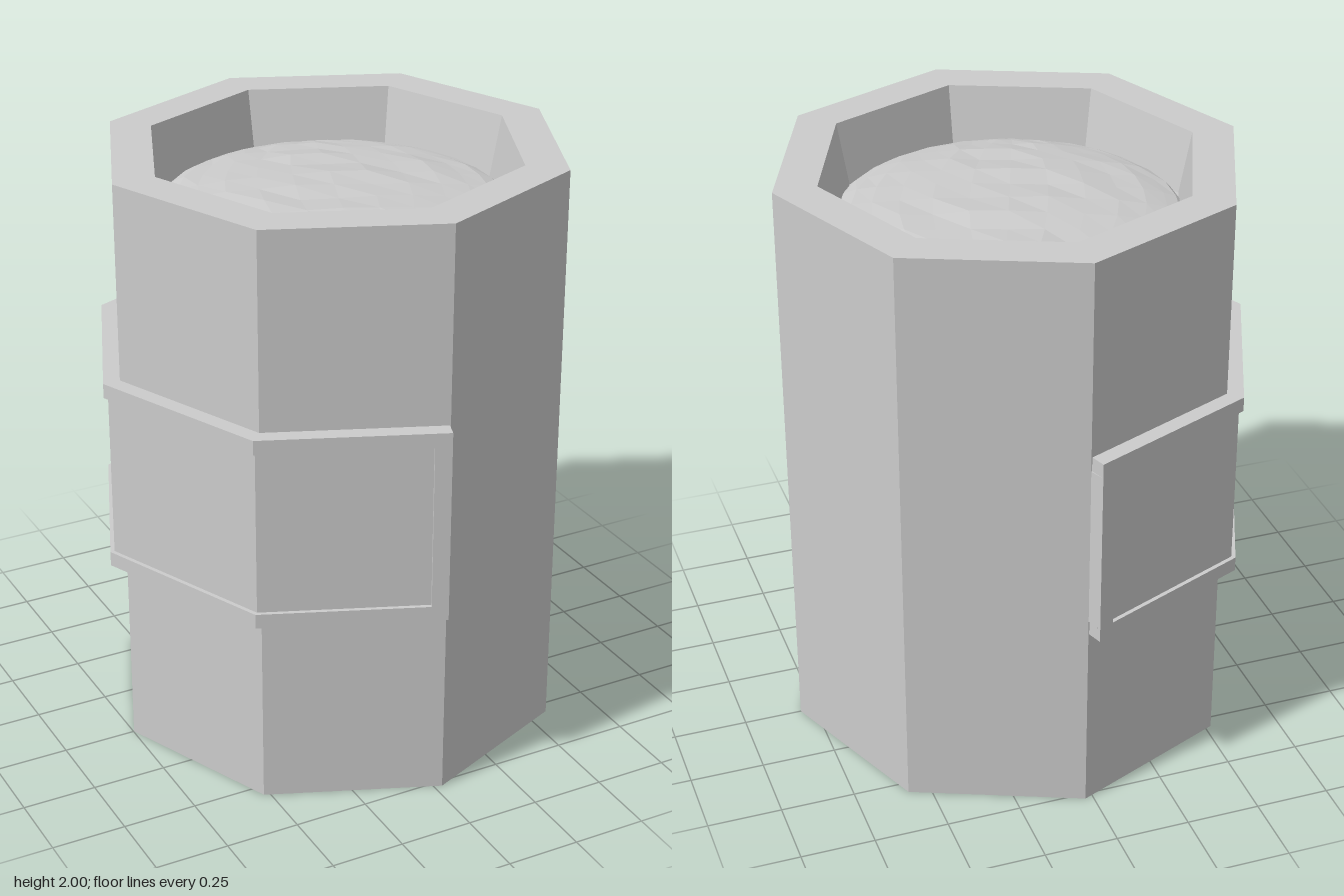
import * as THREE from 'three';

const R = 0.775;          // corner radius of the octagonal barrel
const CX = 0.027;         // barrel axis in x
const STEP = Math.PI / 4;

export function createModel() {
  const model = new THREE.Group();
  const mat = new THREE.MeshStandardMaterial({ color: 0xcccccc, flatShading: true });

  const add = (name, geometry, y = 0) => {
    const mesh = new THREE.Mesh(geometry, mat);
    mesh.name = name;
    mesh.position.set(CX, y, 0);
    model.add(mesh);
    return mesh;
  };

  // Barrel: outer wall, flat rim, tapering inner wall and sunken floor
  const profile = [[0, 0], [R, 0], [R, 2], [0.63, 2], [0.588, 1.79], [0, 1.79]];
  add('barrel', new THREE.LatheGeometry(profile.map(p => new THREE.Vector2(...p)), 8));

  // Contents: shallow faceted mound with uneven facets
  const mound = new THREE.SphereGeometry(0.565, 28, 16);
  mound.rotateX(Math.PI / 2);
  mound.rotateY(-0.35);
  const pos = mound.attributes.position;
  for (let i = 0; i < pos.count; i++) {
    const x = pos.getX(i), y = pos.getY(i), z = pos.getZ(i);
    const bump = 0.006 * Math.sin(Math.round(x * 1000) * 1.7 + Math.round(z * 1000) * 2.3);
    pos.setY(i, y * 0.1 + bump * Math.max(0, y / 0.565));
  }
  add('contents', mound, 1.81);

  // Plan-view helpers for the raised band around the -x half
  const corner = (k, r) => new THREE.Vector2(Math.cos(k * STEP) * r, Math.sin(k * STEP) * r);
  const normal = k => corner(k, 1);
  const extrude = (points, height) => new THREE.ExtrudeGeometry(
    new THREE.Shape(points), { depth: height, bevelEnabled: false }).rotateX(-Math.PI / 2);

  // Strip hugging four faces, with ends square to the faces
  const strip = t => {
    const outer = [corner(2, R).addScaledVector(normal(2.5), t)];
    const inner = [];
    for (let k = 3; k <= 5; k++) outer.push(corner(k, R + t / Math.cos(STEP / 2)));
    outer.push(corner(6, R).addScaledVector(normal(5.5), t));
    for (let k = 6; k >= 2; k--) inner.push(corner(k, R - 0.01));
    return [...outer, ...inner];
  };

  const T = 0.054;
  add('bandPanel', extrude(strip(0.04), 0.57), 0.715);
  add('bandLowerLip', extrude(strip(T), 0.05), 0.67);
  add('bandUpperLip', extrude(strip(T), 0.05), 1.283);

  // Upright end pieces closing the band frame
  for (const [k, next, name] of [[2, 3, 'bandBackEnd'], [6, 5, 'bandFrontEnd']]) {
    const a = corner(k, R);
    const along = corner(next, R).sub(a).normalize();
    const b = a.clone().addScaledVector(along, 0.055);
    const n = normal((k + next) / 2);
    const out = p => p.clone().addScaledVector(n, T);
    add(name, extrude([a, out(a), out(b), b], 0.563), 0.72);
  }

  return model;
}
